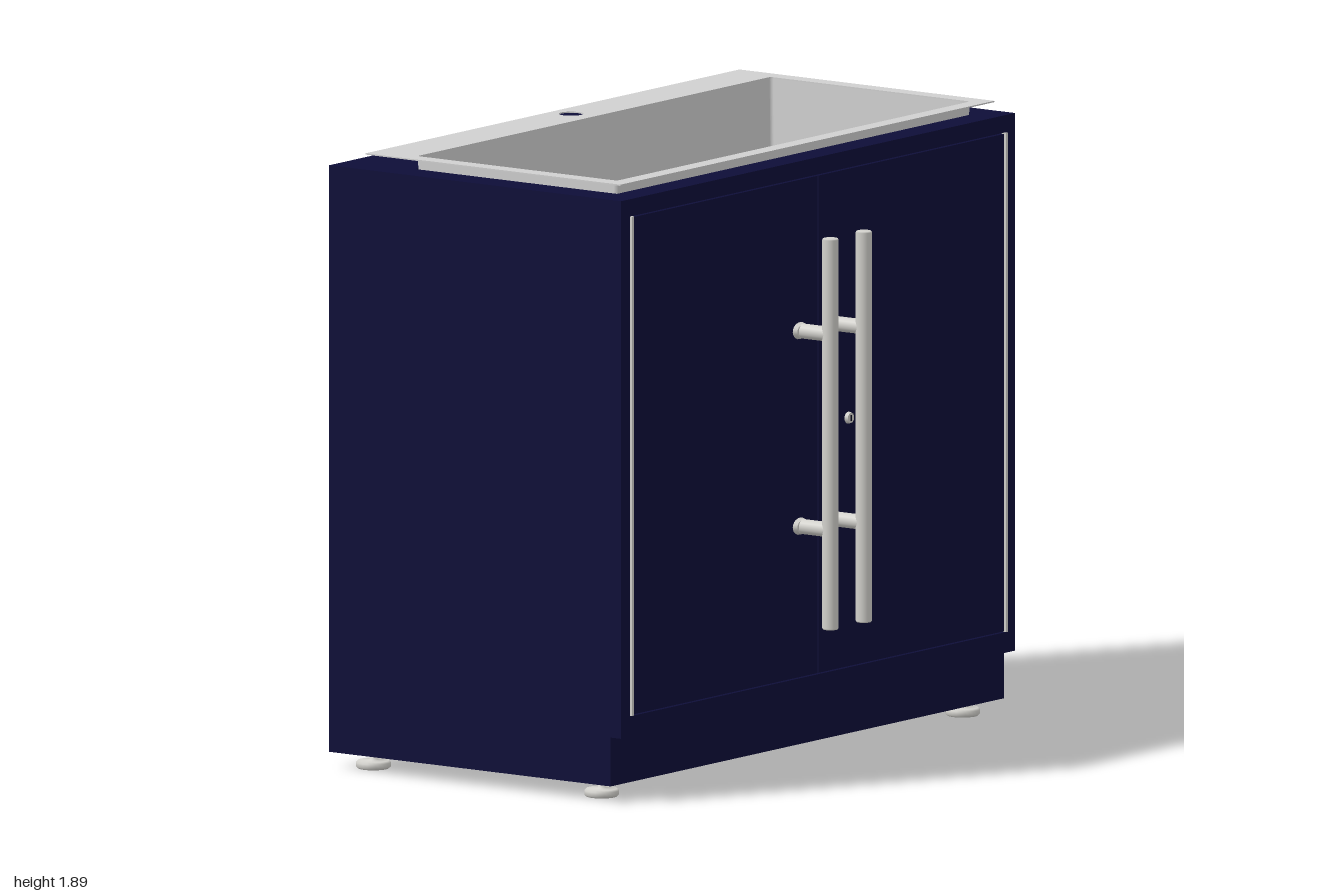
import * as THREE from 'three';

const mat = (name, color, side = THREE.FrontSide) => {
  const m = new THREE.MeshStandardMaterial({ color, side });
  m.name = name;
  return m;
};

// Rectangle path centred on (cx, cy), with optional rounded corners
function rect(path, w, h, cx = 0, cy = 0, r = 0) {
  const x = w / 2, y = h / 2;
  if (!r) {
    path.moveTo(cx - x, cy - y).lineTo(cx + x, cy - y).lineTo(cx + x, cy + y).lineTo(cx - x, cy + y);
  } else {
    path.moveTo(cx - x + r, cy - y);
    path.absarc(cx + x - r, cy - y + r, r, -Math.PI / 2, 0);
    path.absarc(cx + x - r, cy + y - r, r, 0, Math.PI / 2);
    path.absarc(cx - x + r, cy + y - r, r, Math.PI / 2, Math.PI);
    path.absarc(cx - x + r, cy - y + r, r, Math.PI, Math.PI * 1.5);
  }
  path.closePath();
  return path;
}

const circle = (r, x, y) => new THREE.Path().absarc(x, y, r, 0, Math.PI * 2);

// Horizontal slab: shape coordinates are (x, -z), extruded from y0 to y1
function slab(shape, holes, y0, y1) {
  shape.holes.push(...holes);
  const g = new THREE.ExtrudeGeometry(shape, { depth: y1 - y0, bevelEnabled: false, curveSegments: 8 });
  return g.rotateX(-Math.PI / 2).translate(0, y0, 0);
}

export function createModel() {
  const model = new THREE.Group();
  const navy = mat('navyPanel', 0x0d0d38);
  const ceramic = mat('ceramic', 0xd0d0d0, THREE.DoubleSide);
  const metal = mat('brushedMetal', 0xd2d1cc);
  const dark = mat('doorGap', 0x070720);

  const add = (name, geometry, material, parent = model) => {
    const m = new THREE.Mesh(geometry, material);
    m.name = name;
    parent.add(m);
    return m;
  };
  const box = (name, x0, x1, y0, y1, z0, z1, material, parent) =>
    add(name, new THREE.BoxGeometry(x1 - x0, y1 - y0, z1 - z0)
      .translate((x0 + x1) / 2, (y0 + y1) / 2, (z0 + z1) / 2), material, parent);

  // Cabinet carcass with recessed plinth
  const cabinet = new THREE.Group();
  cabinet.name = 'cabinet';
  model.add(cabinet);
  const profile = new THREE.Shape([[0.62, 0.05], [0.62, 1.85], [-0.48, 1.85], [-0.48, 0.2], [-0.44, 0.2], [-0.44, 0.05]]
    .map(([x, y]) => new THREE.Vector2(x, y)));
  for (const s of [-1, 1]) {
    const g = new THREE.ExtrudeGeometry(profile, { depth: 0.05, bevelEnabled: false });
    g.rotateY(Math.PI / 2).translate(s < 0 ? -1 : 0.95, 0, 0);
    add(s < 0 ? 'rightPanel' : 'leftPanel', g, navy, cabinet);
  }
  box('backPanel', -0.95, 0.95, 0.05, 1.85, -0.62, -0.58, navy, cabinet);
  box('bottomPanel', -0.95, 0.95, 0.05, 0.2, -0.58, 0.44, navy, cabinet);
  box('lowerRail', -0.95, 0.95, 0.2, 0.263, 0.42, 0.48, navy, cabinet);
  box('upperRail', -0.95, 0.95, 1.797, 1.85, 0.44, 0.48, navy, cabinet);
  add('topPanel', slab(rect(new THREE.Shape(), 1.9, 1.02, 0, 0.07),
    [rect(new THREE.Path(), 1.8, 0.76, 0, -0.01)], 1.8, 1.85), navy, cabinet);

  // Doors with fine gaps and pale outer edging
  box('gapBacking', -0.95, 0.95, 0.26, 1.8, 0.44, 0.46, dark);
  for (const s of [-1, 1]) {
    const x = s * 0.4735;
    box(s < 0 ? 'rightDoor' : 'leftDoor', x - 0.471, x + 0.471, 0.267, 1.793, 0.461, 0.48, navy);
    box('doorEdging', s * 0.95 - 0.005, s * 0.95 + 0.005, 0.265, 1.797, 0.462, 0.488, metal);
  }

  // Bar handles on two posts, with flat oval mounting plates
  for (const x of [-0.092, 0.078]) {
    const handle = new THREE.Group();
    handle.name = x < 0 ? 'rightHandle' : 'leftHandle';
    handle.position.set(x, 0, 0);
    model.add(handle);
    const bar = [[0, 0.425], [0.022, 0.425], [0.025, 0.429], [0.025, 1.621], [0.022, 1.625], [0, 1.625]];
    add('bar', new THREE.LatheGeometry(bar.map(([r, y]) => new THREE.Vector2(r, y)), 24), metal, handle)
      .position.z = 0.595;
    for (const y of [0.73, 1.33]) {
      add('post', new THREE.CylinderGeometry(0.023, 0.023, 0.12, 20).rotateX(Math.PI / 2), metal, handle)
        .position.set(0, y, 0.535);
      const plate = add('postPlate', new THREE.CylinderGeometry(0.03, 0.037, 0.014, 20).rotateX(Math.PI / 2), metal, handle);
      plate.position.set(0, y, 0.486);
      plate.scale.y = 0.72;
    }
  }

  // Lock on the left door
  add('lock', new THREE.CylinderGeometry(0.016, 0.019, 0.014, 16).rotateX(Math.PI / 2), metal)
    .position.set(0.153, 1.03, 0.484);
  box('keySlot', 0.15, 0.156, 1.021, 1.039, 0.49, 0.492, dark);

  // Sink: thin rim, tapered bowl wall, floor with drain
  const sink = new THREE.Group();
  sink.name = 'sink';
  model.add(sink);
  add('rim', slab(rect(new THREE.Shape(), 1.9, 0.96, 0, 0.04),
    [rect(new THREE.Path(), 1.794, 0.752, 0, -0.012, 0.012), circle(0.038, 0, 0.45)], 1.886, 1.89), ceramic, sink);
  const wall = slab(rect(new THREE.Shape(), 1.8, 0.758, 0, -0.012, 0.014),
    [rect(new THREE.Path(), 1.794, 0.752, 0, -0.012, 0.012)], 1.43, 1.886);
  const p = wall.attributes.position;
  for (let i = 0; i < p.count; i++) {
    if (p.getY(i) > 1.6) continue;
    p.setX(i, p.getX(i) - Math.sign(p.getX(i)) * 0.014);
    p.setZ(i, p.getZ(i) - Math.sign(p.getZ(i) - 0.012) * 0.014);
  }
  wall.computeVertexNormals();
  add('bowlWall', wall, ceramic, sink);
  add('bowlFloor', slab(rect(new THREE.Shape(), 1.768, 0.726, 0, -0.012),
    [circle(0.086, 0, 0.19)], 1.43, 1.445), ceramic, sink);
  add('drainRing', new THREE.TorusGeometry(0.091, 0.008, 8, 32).rotateX(Math.PI / 2), metal, sink)
    .position.set(0, 1.443, -0.19);

  // Levelling feet
  const footProfile = [[0, 0], [0.047, 0], [0.053, 0.006], [0.053, 0.018], [0.047, 0.024], [0.012, 0.026], [0.012, 0.052]]
    .map(([r, y]) => new THREE.Vector2(r, y));
  const foot = new THREE.LatheGeometry(footProfile, 24);
  for (const x of [-0.917, 0.917]) {
    for (const z of [-0.515, 0.345]) add('foot', foot, metal).position.set(x, 0, z);
  }

  return model;
}
